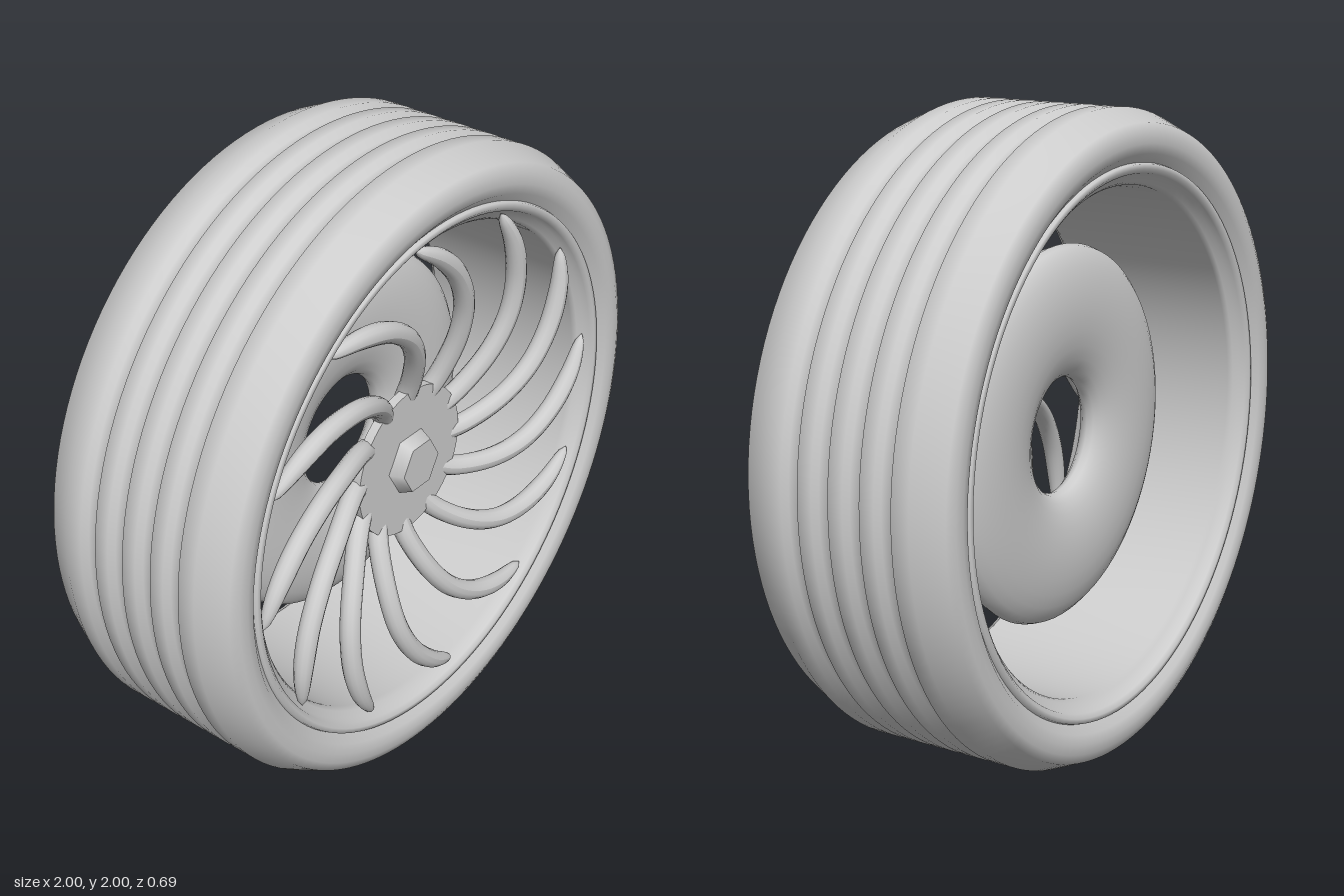
import * as THREE from 'three';

const V = (x, y, z) => new THREE.Vector3(x, y, z);

// Turn a profile of [radius, z] pairs around the wheel axle
function turned(name, profile, material, segments = 96) {
  const pts = profile.map(([r, z]) => new THREE.Vector2(r, z));
  const geo = new THREE.LatheGeometry(pts, segments);
  geo.rotateX(Math.PI / 2);
  const mesh = new THREE.Mesh(geo, material);
  mesh.name = name;
  return mesh;
}

// Curved spoke: a tube whose thickness narrows to a point at the rim
function spokeGeometry() {
  const curve = new THREE.CatmullRomCurve3([
    V(0.17, -0.115, 0.17), V(0.24, -0.145, 0.2), V(0.38, -0.165, 0.25),
    V(0.51, -0.148, 0.28), V(0.63, -0.088, 0.295), V(0.725, 0.005, 0.3), V(0.79, 0.115, 0.295),
  ]);
  const steps = 32, sides = 14;
  const geo = new THREE.TubeGeometry(curve, steps, 0.032, sides, false);
  const pos = geo.attributes.position, p = V(0, 0, 0);
  for (let i = 0; i <= steps; i++) {
    const t = i / steps, c = curve.getPointAt(t);
    const k = t < 0.7 ? 1 : Math.sqrt(Math.max(0, 1 - ((t - 0.7) / 0.3) ** 2)) * 0.98 + 0.02;
    for (let j = 0; j <= sides; j++) {
      const n = i * (sides + 1) + j;
      p.fromBufferAttribute(pos, n).sub(c).multiplyScalar(k).add(c);
      pos.setXYZ(n, p.x, p.y, p.z);
    }
  }
  geo.computeVertexNormals();
  return geo;
}

export function createModel() {
  const wheel = new THREE.Group();
  wheel.name = 'wheel';
  const grey = new THREE.MeshStandardMaterial({ color: 0xcccccc, side: THREE.DoubleSide });
  grey.name = 'light grey';

  // Tyre: rounded sidewalls and a tread with four grooves
  const side = [[0.81, 0.3], [0.845, 0.315], [0.87, 0.338], [0.9, 0.345], [0.93, 0.343], [0.96, 0.33], [1, 0.24]];
  const tread = [];
  for (const z of [-0.155, -0.052, 0.052, 0.155]) {
    tread.push([1, z - 0.028], [0.976, z - 0.02], [0.976, z + 0.02], [1, z + 0.028]);
  }
  wheel.add(turned('tyre', [
    ...side.map(([r, z]) => [r, -z]), ...tread, ...side.slice().reverse(),
  ], grey, 128));

  // Rim: a barrel with a raised lip at both ends
  const lip = [[0.845, 0.31], [0.84, 0.325], [0.825, 0.326], [0.812, 0.315], [0.805, 0.295], [0.785, 0.285], [0.775, 0.27]];
  wheel.add(turned('rim', [
    ...lip, ...lip.slice().reverse().map(([r, z]) => [r, -z]),
  ], grey, 128));

  // Spokes
  const spokes = new THREE.Group();
  spokes.name = 'spokes';
  const spokeGeo = spokeGeometry();
  for (let i = 0; i < 12; i++) {
    const spoke = new THREE.Mesh(spokeGeo, grey);
    spoke.name = 'spoke';
    spoke.rotation.z = i * Math.PI / 6;
    spokes.add(spoke);
  }
  wheel.add(spokes);

  // Hub cap and hexagonal nut
  const hub = new THREE.Mesh(new THREE.CylinderGeometry(0.245, 0.245, 0.03, 64), grey);
  hub.name = 'hubCap';
  hub.rotation.x = Math.PI / 2;
  hub.position.z = 0.19;
  wheel.add(hub);
  const nut = new THREE.Mesh(new THREE.CylinderGeometry(0.085, 0.105, 0.045, 6), grey);
  nut.name = 'hubNut';
  nut.rotation.set(Math.PI / 2, Math.PI / 6, 0);
  nut.position.z = 0.225;
  wheel.add(nut);

  // Brake disc: a flattened ring behind the spokes
  const disc = new THREE.Mesh(new THREE.TorusGeometry(0.383, 0.203, 24, 80), grey);
  disc.name = 'brakeDisc';
  disc.scale.z = 0.38;
  disc.position.z = -0.08;
  wheel.add(disc);

  wheel.position.y = 1;
  const model = new THREE.Group();
  model.name = 'wheelModel';
  model.add(wheel);
  return model;
}
